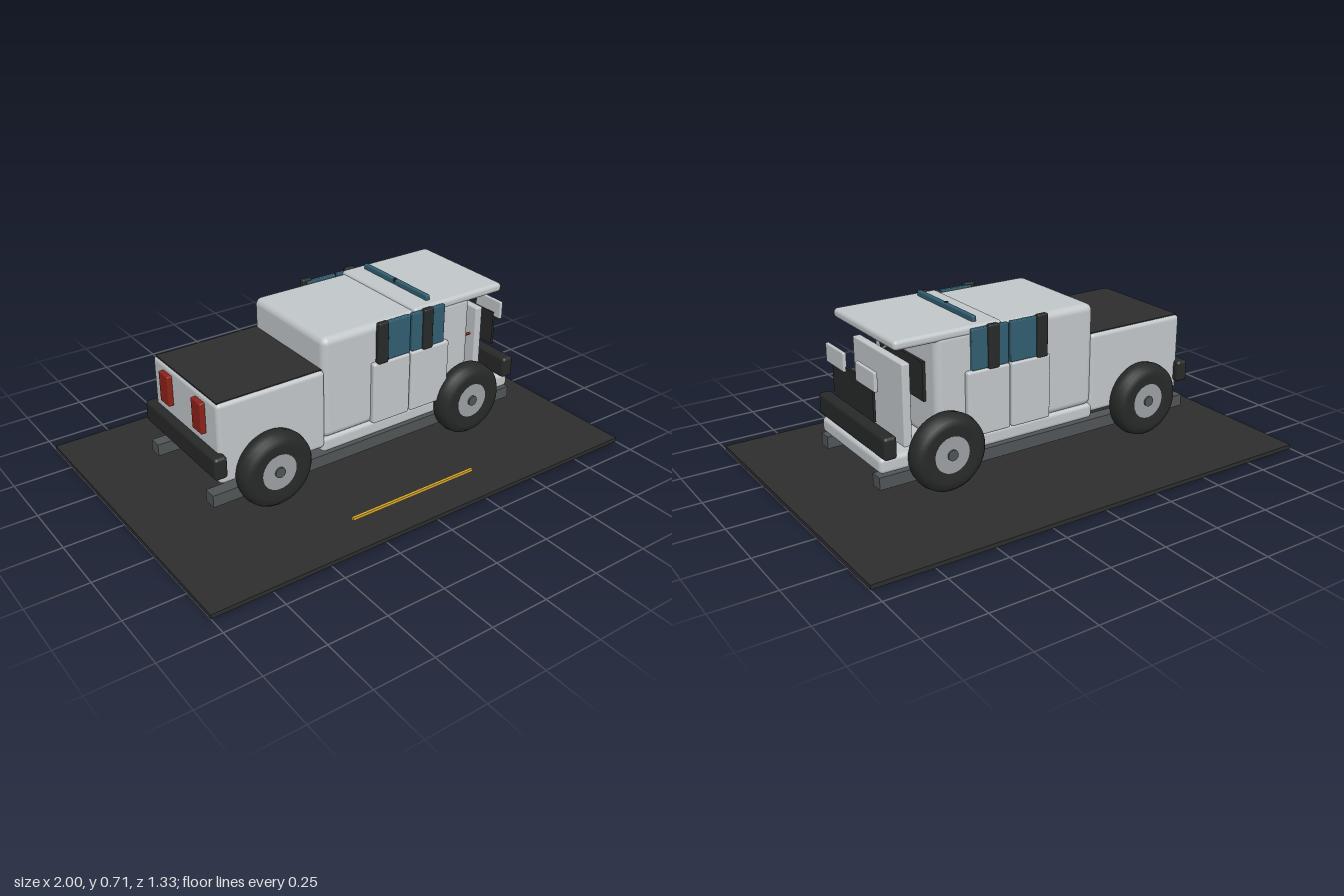
import * as THREE from 'three';
import { RoundedBoxGeometry } from 'three/addons/geometries/RoundedBoxGeometry.js';

const mat = (name, color) => {
  const m = new THREE.MeshStandardMaterial({ color });
  m.name = name;
  return m;
};

export function createModel() {
  const paint = mat('silver paint', 0xc0c5c8);
  const asphalt = mat('asphalt', 0x2d2d2d);
  const rubber = mat('black rubber', 0x272828);
  const glass = mat('teal glass', 0x315d70);
  const steel = mat('frame steel', 0x505456);
  const hubGrey = mat('hub grey', 0x9a9fa2);
  const red = mat('tail light red', 0x8c2218);
  const yellow = mat('road yellow', 0xd6a52c);

  const model = new THREE.Group();
  model.name = 'pickupTruck';

  const add = (name, geometry, material, parent = model) => {
    const mesh = new THREE.Mesh(geometry, material);
    mesh.name = name;
    parent.add(mesh);
    return mesh;
  };
  // Box given by its limits on each axis; r > 0 rounds the edges
  const box = (name, material, [x0, x1], [y0, y1], [z0, z1], r = 0) => {
    const size = [x1 - x0, y1 - y0, z1 - z0];
    const g = r ? new RoundedBoxGeometry(...size, 3, r) : new THREE.BoxGeometry(...size);
    const mesh = add(name, g, material);
    mesh.position.set((x0 + x1) / 2, (y0 + y1) / 2, (z0 + z1) / 2);
    return mesh;
  };
  // Round bar between two points
  const rod = (name, material, a, b, r0, r1 = r0) => {
    const p = new THREE.Vector3(...a), q = new THREE.Vector3(...b);
    const mesh = add(name, new THREE.CylinderGeometry(r1, r0, p.distanceTo(q), 20), material);
    mesh.position.copy(p).add(q).multiplyScalar(0.5);
    mesh.quaternion.setFromUnitVectors(new THREE.Vector3(0, 1, 0), q.sub(p).normalize());
    return mesh;
  };

  // Road slab and painted line
  box('road', asphalt, [-1, 1], [0, 0.018], [-0.667, 0.667]);
  box('roadLine', yellow, [-0.3, 0.3], [0.034, 0.046], [0.514, 0.526]);

  // Main body
  box('cargoBed', paint, [-0.71, -0.235], [0.2, 0.54], [-0.25, 0.25], 0.018);
  box('bedCover', asphalt, [-0.702, -0.245], [0.537, 0.543], [-0.237, 0.237]);
  box('cab', paint, [-0.245, 0.49], [0.235, 0.67], [-0.25, 0.25], 0.03);
  box('roof', paint, [0.195, 0.66], [0.643, 0.682], [-0.25, 0.25], 0.016);
  box('roofBar', glass, [0.285, 0.305], [0.675, 0.704], [-0.21, 0.21], 0.006);
  box('floorSill', paint, [-0.25, 0.735], [0.175, 0.24], [-0.25, 0.25], 0.018);

  // Doors, windows and pillars on both sides
  for (const s of [1, -1]) {
    const side = (a, b) => (s > 0 ? [a, b] : [-b, -a]);
    box('rearDoor', paint, [-0.018, 0.165], [0.24, 0.508], side(0.235, 0.272), 0.01);
    box('frontDoor', paint, [0.171, 0.365], [0.24, 0.508], side(0.235, 0.272), 0.01);
    box('rearWindow', glass, [0.02, 0.165], [0.508, 0.672], side(0.245, 0.265), 0.004);
    box('frontWindow', glass, [0.175, 0.34], [0.508, 0.672], side(0.245, 0.265), 0.004);
    box('rearPillar', rubber, [0.0, 0.048], [0.505, 0.68], side(0.252, 0.278), 0.006);
    box('frontPillar', rubber, [0.225, 0.272], [0.505, 0.68], side(0.252, 0.278), 0.006);
    box('chassisRail', steel, [-0.745, 0.74], [0.117, 0.168], side(0.195, 0.25));
    box('tailLight', red, [-0.732, -0.708], [0.385, 0.515], side(0.092, 0.163), 0.006);
    box('headlight', paint, [0.705, 0.721], [0.485, 0.563], side(0.05, 0.203), 0.005);
  }

  // Open nose: firewall panel, grille and bumpers
  box('nosePanel', paint, [0.57, 0.605], [0.23, 0.57], [-0.2, 0.2], 0.006);
  box('grille', rubber, [0.701, 0.711], [0.355, 0.505], [-0.167, 0.167]);
  box('frontBumper', rubber, [0.675, 0.73], [0.24, 0.332], [-0.28, 0.28], 0.014);
  box('rearBumper', rubber, [-0.745, -0.69], [0.245, 0.338], [-0.28, 0.28], 0.014);
  box('dashboard', rubber, [0.488, 0.502], [0.39, 0.55], [-0.17, 0.17]);
  rod('steeringColumn', rubber, [0.48, 0.59, 0.035], [0.57, 0.55, 0.035], 0.009);
  rod('lever', rubber, [0.49, 0.462, 0.16], [0.55, 0.458, 0.16], 0.008);
  rod('leverTip', red, [0.53, 0.458, 0.19], [0.55, 0.458, 0.19], 0.006);
  rod('mirrorStem', rubber, [0.291, 0.69, 0.0], [0.291, 0.706, 0.0], 0.008);

  // Underbody
  for (const x of [-0.55, -0.1, 0.3, 0.62]) {
    box('crossMember', steel, [x, x + 0.05], [0.12, 0.165], [-0.2, 0.2]);
  }
  rod('muffler', hubGrey, [-0.4, 0.125, 0.105], [-0.28, 0.125, 0.105], 0.04);
  rod('exhaustPipe', steel, [-0.28, 0.125, 0.105], [0.02, 0.14, 0.105], 0.028, 0.016);

  // Wheels: rounded tyre, pale disc and dark axle cap
  const profile = [[0.07, -0.04], [0.115, -0.047], [0.14, -0.042], [0.154, -0.026], [0.159, 0],
    [0.154, 0.026], [0.14, 0.042], [0.115, 0.047], [0.07, 0.04]];
  const tyre = new THREE.LatheGeometry(profile.map(([r, h]) => new THREE.Vector2(r, h)), 40).rotateX(Math.PI / 2);
  const disc = new THREE.CylinderGeometry(0.075, 0.075, 0.082, 32).rotateX(Math.PI / 2);
  const cap = new THREE.CylinderGeometry(0.022, 0.022, 0.096, 20).rotateX(Math.PI / 2);
  for (const x of [-0.493, 0.466]) {
    rod('axle', steel, [x, 0.217, -0.25], [x, 0.217, 0.25], 0.02);
    for (const s of [1, -1]) {
      const wheel = new THREE.Group();
      wheel.name = 'wheel';
      wheel.position.set(x, 0.217, s * 0.278);
      add('tyre', tyre, rubber, wheel);
      add('wheelDisc', disc, hubGrey, wheel);
      add('axleCap', cap, steel, wheel);
      model.add(wheel);
    }
  }
  return model;
}
